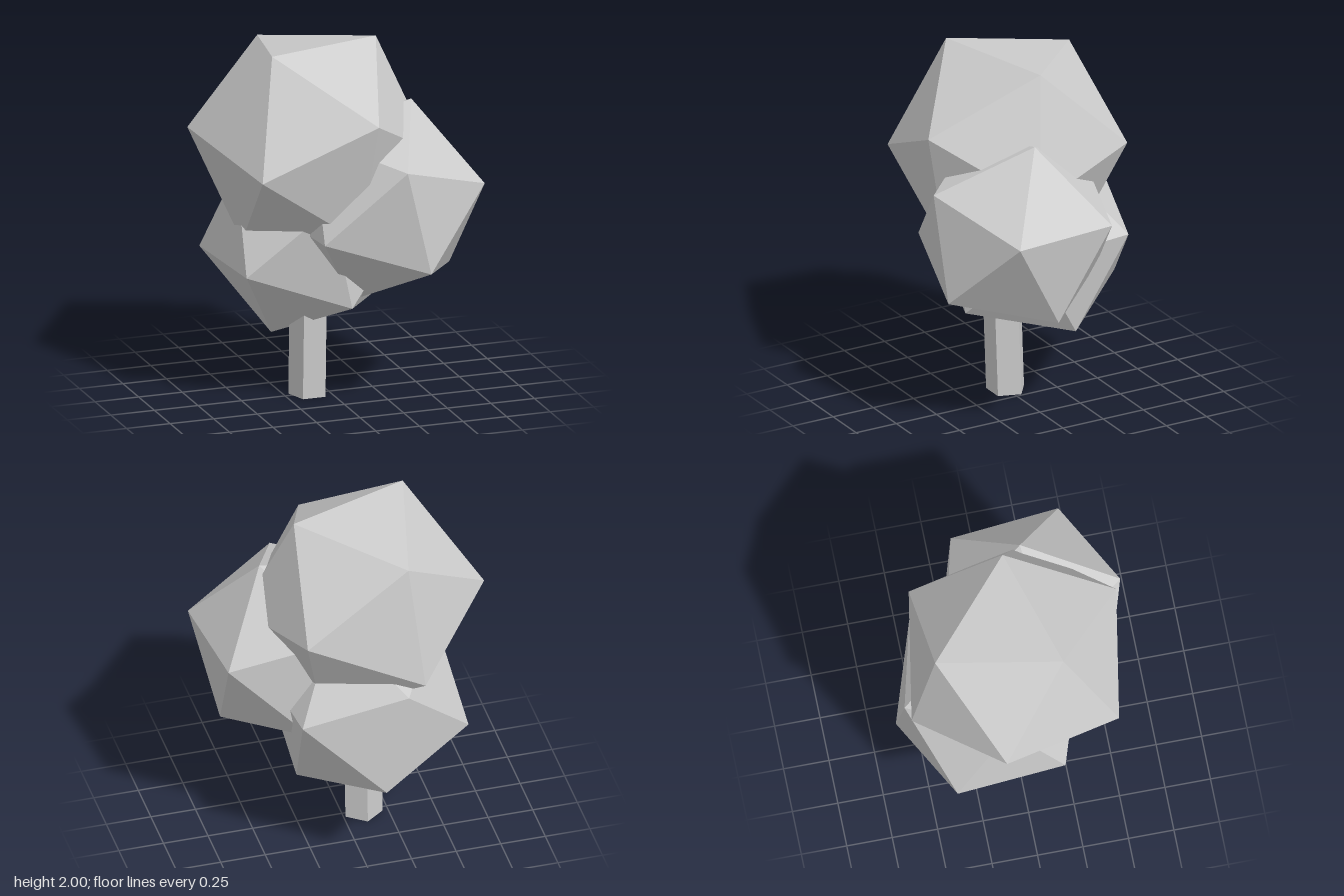
import * as THREE from 'three';

const material = new THREE.MeshStandardMaterial({ color: 0xcccccc, flatShading: true });
const vec = (p) => new THREE.Vector3(...p);

// Rotation frame whose y axis is the pole and whose x axis leans towards side
function frame(pole, side) {
  const y = pole.clone().normalize();
  const z = side.clone().cross(y).normalize();
  return new THREE.Matrix4().makeBasis(y.clone().cross(z), y, z);
}

// Icosahedral leaf clump, turned so one corner points along corner
// and an adjacent corner lies towards neighbour
function leafClump(name, centre, radius, corner, neighbour) {
  const t = (1 + Math.sqrt(5)) / 2;
  const source = frame(vec([-1, t, 0]), vec([0, 1, t]));
  const c = vec(centre);
  const target = frame(vec(corner).sub(c), vec(neighbour).sub(c));
  const geometry = new THREE.IcosahedronGeometry(radius, 0);
  geometry.applyMatrix4(target.multiply(source.invert()));
  const mesh = new THREE.Mesh(geometry, material);
  mesh.name = name;
  mesh.position.copy(c);
  return mesh;
}

export function createModel() {
  const tree = new THREE.Group();
  tree.name = 'tree';

  // Five-sided trunk, flat side to the front, leaning slightly forward
  const height = 0.85;
  const trunkGeometry = new THREE.CylinderGeometry(0.11, 0.11, height, 5, 1, false, Math.PI);
  trunkGeometry.translate(0, height / 2, 0);
  trunkGeometry.applyMatrix4(new THREE.Matrix4().makeShear(0, 0, 0, 0.035, 0, 0));
  const lean = trunkGeometry.attributes.position;
  for (let i = 0; i < lean.count; i++) {
    // keep the lean purely along z
    const y = lean.getY(i) > height / 2 ? height : 0;
    const angleZ = lean.getZ(i);
    lean.setXYZ(i, lean.getX(i), y, angleZ);
  }
  trunkGeometry.computeVertexNormals();
  const trunk = new THREE.Mesh(trunkGeometry, material);
  trunk.name = 'trunk';
  trunk.position.x = -0.115;
  tree.add(trunk);

  // Crown of three overlapping clumps
  tree.add(
    leafClump('topLeaves', [-0.112, 1.443, -0.005], 0.665, [-0.4, 2.0, 0.21], [0.27, 1.985, 0.005]),
    leafClump('frontLeaves', [0.245, 1.106, 0.151], 0.576, [0.75, 1.22, 0.408], [0.43, 1.655, 0.135]),
    leafClump('lowerLeaves', [-0.092, 0.868, -0.147], 0.576, [-0.28, 0.325, -0.14], [0.31, 0.46, -0.19])
  );
  return tree;
}
